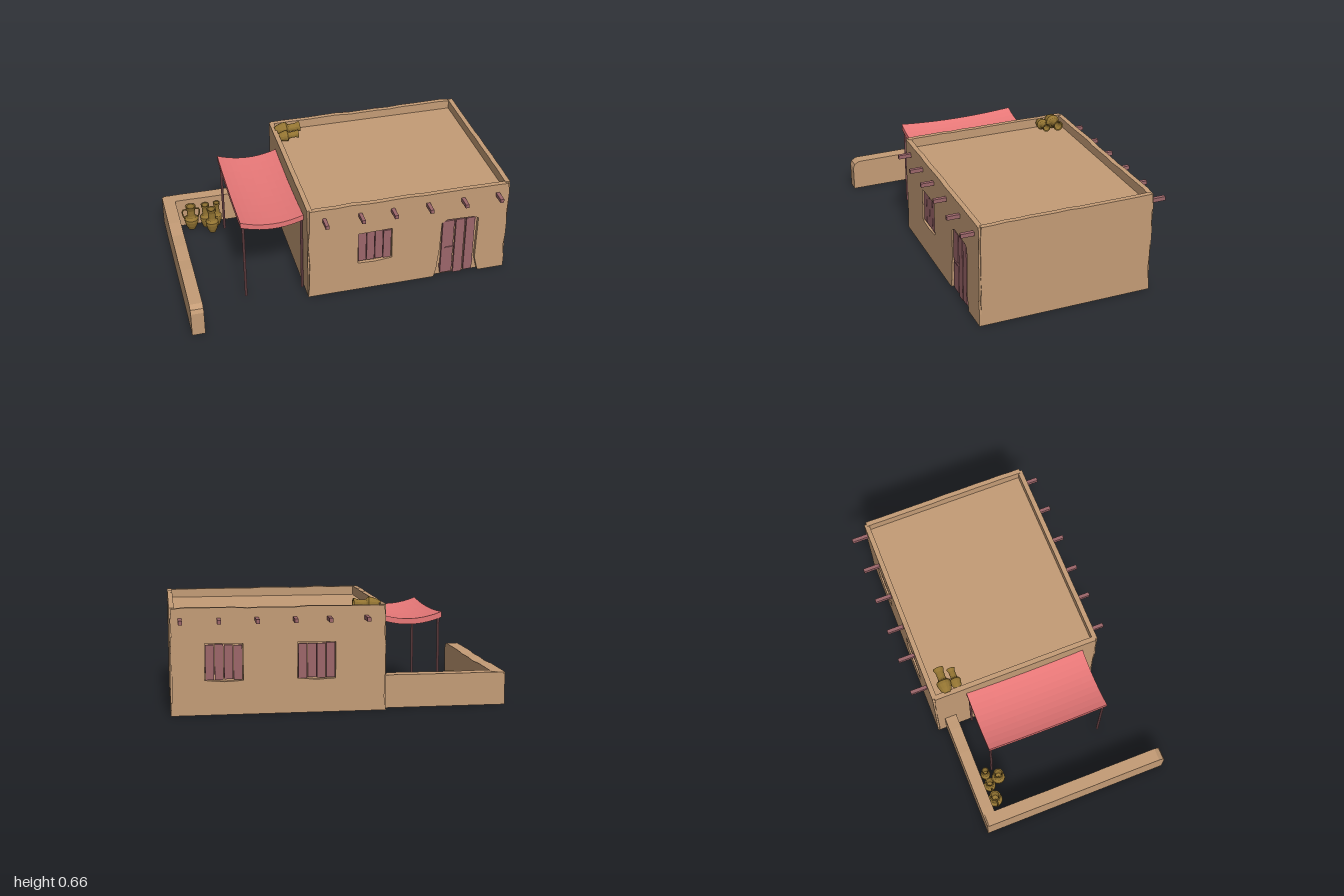
import * as THREE from 'three';

const clay = new THREE.MeshStandardMaterial({ color: 0xc49c76, flatShading: true });
const wood = new THREE.MeshStandardMaterial({ color: 0x9c666a, flatShading: true });
const cloth = new THREE.MeshStandardMaterial({ color: 0xe87878, flatShading: true, side: THREE.DoubleSide });
const pottery = new THREE.MeshStandardMaterial({ color: 0x937432, flatShading: true, side: THREE.DoubleSide });

let seed = 7;
const rand = () => (seed = (seed * 16807) % 2147483647) / 2147483647;

export function createModel() {
  const model = new THREE.Group();

  function add(name, geometry, material, x = 0, y = 0, z = 0, parent = model) {
    const mesh = new THREE.Mesh(geometry, material);
    mesh.name = name;
    mesh.position.set(x, y, z);
    parent.add(mesh);
    return mesh;
  }
  // box given by its limits on each axis
  function block(name, material, x0, x1, y0, y1, z0, z1, parent = model) {
    return add(name, new THREE.BoxGeometry(x1 - x0, y1 - y0, z1 - z0), material,
      (x0 + x1) / 2, (y0 + y1) / 2, (z0 + z1) / 2, parent);
  }

  // mud wall from a to b with worn top and ends; base is the bottom outline from a to b
  function wallShape(a, b, h, wear, endWear, base = []) {
    const pts = [[a, 0], ...base, [b, 0]];
    for (let i = 1; i < 8; i++) pts.push([b - rand() * endWear, (h * i) / 8]);
    pts.push([b - endWear, h - wear]);
    for (let i = 1; i < 14; i++) pts.push([b + ((a - b) * i) / 14, h - rand() * wear]);
    pts.push([a + endWear, h - wear * 0.6]);
    for (let i = 7; i > 0; i--) pts.push([a + rand() * endWear, (h * i) / 8]);
    return new THREE.Shape(pts.map(p => new THREE.Vector2(p[0], p[1])));
  }
  function cutWindow(shape, x0, x1) {
    shape.holes.push(new THREE.Path([[x0, 0.2], [x0, 0.415], [x1, 0.42], [x1 + 0.005, 0.205],
      [(x0 + x1) / 2, 0.195]].map(p => new THREE.Vector2(p[0], p[1]))));
  }
  const slab = (shape, depth) => new THREE.ExtrudeGeometry(shape, { depth, bevelEnabled: false });

  // solid core: floor, flat roof and the backs of the recesses
  block('roof', clay, -0.235, 0.975, 0, 0.57, -0.545, 0.475);

  // front wall with door opening and window
  const front = wallShape(-0.26, 1, 0.63, 0.009, 0.012, [[0.54, 0], [0.555, 0.06], [0.57, 0.22],
    [0.575, 0.4], [0.61, 0.42], [0.78, 0.415], [0.81, 0.4], [0.805, 0.1], [0.83, 0]]);
  cutWindow(front, 0.05, 0.26);
  add('frontWall', slab(front, 0.03), clay, 0, 0, 0.468);

  // back wall with two windows
  const back = wallShape(-0.26, 1, 0.63, 0.009, 0.012);
  cutWindow(back, 0.04, 0.26);
  cutWindow(back, 0.58, 0.8);
  add('backWall', slab(back, 0.03), clay, 0, 0, -0.57);

  // side walls
  for (const x of [-0.23, 1]) {
    const side = add('sideWall', slab(wallShape(-0.562, 0.49, 0.632, 0.006, 0.006), 0.03), clay, x);
    side.rotation.y = -Math.PI / 2;
  }

  // planked shutters: ragged boards side by side
  function shutter(x0, x1, z) {
    const group = new THREE.Group();
    group.name = 'shutter';
    const w = (x1 - x0) / 4;
    for (let i = 0; i < 4; i++) {
      block('board', wood, x0 + i * w + 0.002, x0 + (i + 1) * w - 0.002,
        0.203 + rand() * 0.008, 0.415 - rand() * 0.01, z - 0.008, z + 0.008, group);
    }
    model.add(group);
  }
  shutter(0.052, 0.26, 0.482);
  shutter(0.042, 0.26, -0.552);
  shutter(0.582, 0.8, -0.552);

  // door: three boards, cross rails and latch
  [[0.583, 0.657, 0.02], [0.668, 0.725, 0.008], [0.735, 0.79, 0.016]].forEach(([x0, x1, y0]) =>
    block('doorBoard', wood, x0, x1, y0, 0.408, 0.478, 0.494));
  for (const y of [0.05, 0.36]) block('doorRail', wood, 0.58, 0.8, y, y + 0.03, 0.472, 0.48);
  block('doorLatch', wood, 0.605, 0.66, 0.205, 0.215, 0.492, 0.5);

  // roof beam ends
  for (const x of [-0.16, 0.06, 0.26, 0.48, 0.7, 0.92]) {
    block('frontBeam', wood, x - 0.011, x + 0.011, 0.543, 0.567, 0.46, 0.577);
    block('backBeam', wood, x + 0.009, x + 0.031, 0.543, 0.567, -0.672, -0.53);
  }

  // yard walls
  add('yardBackWall', slab(wallShape(-0.99, -0.24, 0.2, 0.002, 0), 0.075), clay, 0, 0, -0.515);
  const yard = new THREE.Shape([[-0.515, 0], [0.67, 0], [0.67, 0.155], [0.66, 0.18], [0.63, 0.198], [0.3, 0.2],
    [0.2, 0.194], [0.05, 0.197], [-0.07, 0.192], [-0.2, 0.2], [-0.505, 0.2], [-0.515, 0.19]]
    .map(p => new THREE.Vector2(p[0], p[1])));
  add('yardSideWall', slab(yard, 0.078), clay, -0.922).rotation.y = -Math.PI / 2;

  // sagging awning; the outer ring of the grid hangs down as a flap
  const n = 12;
  const sheet = new THREE.PlaneGeometry(1, 1, n, n);
  const pos = sheet.attributes.position;
  for (let i = 0; i < pos.count; i++) {
    const ix = i % (n + 1), iz = Math.floor(i / (n + 1));
    const u = THREE.MathUtils.clamp((ix - 1) / (n - 2), 0, 1);
    const v = THREE.MathUtils.clamp((iz - 1) / (n - 2), 0, 1);
    const flap = ix % n === 0 || iz % n === 0 ? 0.035 : 0;
    const y = 0.552 - 0.008 * u - 0.14 * u * (1 - u) - 0.07 * v * (1 - v) - flap;
    pos.setXYZ(i, -0.64 + 0.378 * u, y, -0.36 + 0.76 * v);
  }
  add('awning', sheet, cloth);
  for (const x of [-0.623, -0.272]) {
    for (const z of [-0.345, 0.385]) {
      add('awningPole', new THREE.CylinderGeometry(0.008, 0.008, 0.53, 8), wood, x, 0.265, z);
    }
  }

  // two-handled clay jars
  const profile = [[0, 0], [0.024, 0], [0.038, 0.03], [0.046, 0.06], [0.046, 0.078], [0.03, 0.092], [0.026, 0.105],
    [0.027, 0.145], [0.034, 0.165], [0.034, 0.172], [0.026, 0.17], [0.02, 0.15], [0.02, 0.1], [0, 0.09]]
    .map(p => new THREE.Vector2(p[0], p[1]));
  function jar(x, y, z, width, height, handles) {
    const group = new THREE.Group();
    group.name = 'jar';
    add('jarBody', new THREE.LatheGeometry(profile, 14), pottery, 0, 0, 0, group);
    for (const s of handles ? [-1, 1] : []) {
      const path = new THREE.CatmullRomCurve3([[0.026, 0.148], [0.05, 0.148], [0.056, 0.12], [0.042, 0.078]]
        .map(p => new THREE.Vector3(s * p[0], p[1], 0)));
      add('jarHandle', new THREE.TubeGeometry(path, 8, 0.005, 6), pottery, 0, 0, 0, group);
    }
    group.scale.set(width, height, width);
    group.position.set(x, y, z);
    model.add(group);
    return group;
  }
  jar(-0.83, 0, -0.4, 1, 1, true);
  jar(-0.735, 0, -0.4, 0.8, 0.98, false);
  jar(-0.66, 0, -0.4, 0.65, 1, false);
  jar(-0.705, 0, -0.33, 0.9, 1.03, false);
  // jars lying on the roof
  jar(-0.24, 0.615, -0.47, 0.95, 0.95, false).rotation.z = -Math.PI / 2 + 0.06;
  jar(-0.235, 0.605, -0.4, 0.75, 0.78, false).rotation.z = -Math.PI / 2 + 0.06;

  return model;
}
